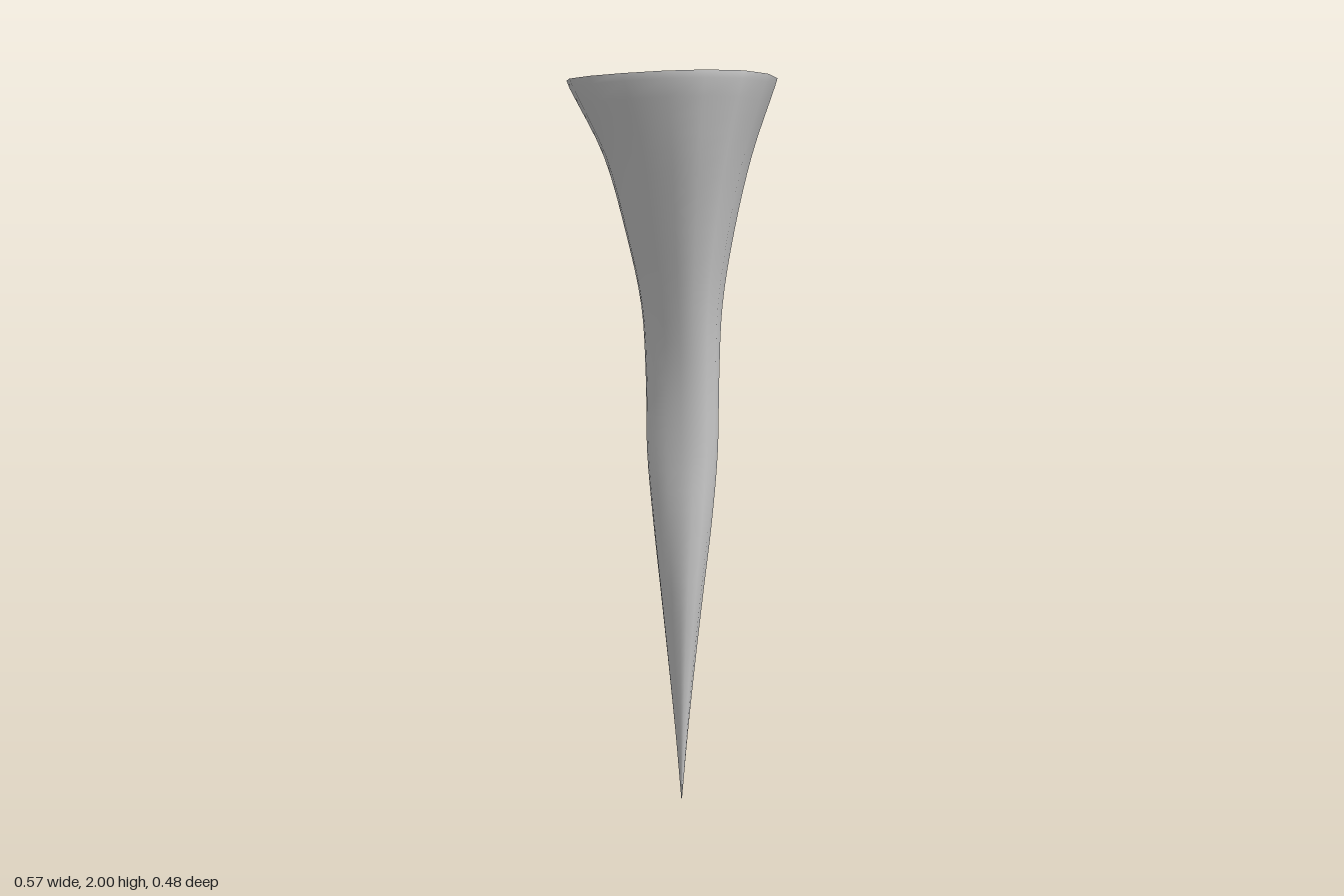
import * as THREE from 'three';

// Half of the egg-shaped section: x and z, narrow at -x and broad at +x
const HALF = [[-0.283, 0], [-0.265, 0.055], [-0.2, 0.12], [-0.105, 0.178], [0.01, 0.227],
  [0.113, 0.241], [0.208, 0.209], [0.264, 0.119], [0.283, 0]];
const SECTION = [...HALF, ...HALF.slice(1, -1).reverse().map(([x, z]) => [x, -z])]
  .map(([x, z]) => [x / 0.283, z / 0.241]);

// Height, left edge x, right edge x, half depth
const PROFILE = [
  [0, 0.029, 0.031, 0.001], [0.2, 0.012, 0.048, 0.029], [0.4, -0.008, 0.068, 0.056],
  [0.6, -0.029, 0.09, 0.077], [0.8, -0.05, 0.113, 0.081], [1.0, -0.067, 0.129, 0.077],
  [1.2, -0.07, 0.132, 0.09], [1.4, -0.082, 0.14, 0.123], [1.6, -0.125, 0.171, 0.165],
  [1.8, -0.183, 0.217, 0.209], [1.98, -0.275, 0.277, 0.241],
];

// Skin a list of rings {y, cx, rx, rz} with smooth normals
function loft(rings) {
  const n = SECTION.length, position = [], index = [];
  for (const r of rings) {
    for (const [u, v] of SECTION) position.push(r.cx + u * r.rx, r.y, v * r.rz);
  }
  for (let k = 0; k < rings.length - 1; k++) {
    for (let i = 0; i < n; i++) {
      const j = (i + 1) % n, a = k * n + i, b = k * n + j;
      index.push(a, b, b + n, a, b + n, a + n);
    }
  }
  const geometry = new THREE.BufferGeometry();
  geometry.setAttribute('position', new THREE.Float32BufferAttribute(position, 3));
  geometry.setIndex(index);
  geometry.computeVertexNormals();
  return geometry;
}

export function createModel() {
  const group = new THREE.Group();
  group.name = 'flaredSpike';
  const material = new THREE.MeshStandardMaterial({ color: 0xcccccc, side: THREE.DoubleSide });

  // Tapered shaft, smoothly interpolated from the profile
  const edges = new THREE.CatmullRomCurve3(PROFILE.map(([y, l, r]) => new THREE.Vector3(l, y, r)));
  const depths = new THREE.CatmullRomCurve3(PROFILE.map(([y, , , d]) => new THREE.Vector3(d, y, 0)));
  const rings = [];
  for (let k = 0; k <= 40; k++) {
    const e = edges.getPoint(k / 40), d = depths.getPoint(k / 40);
    rings.push({ y: e.y, cx: (e.x + e.z) / 2, rx: (e.z - e.x) / 2, rz: d.x });
  }
  // Lip
  rings.push({ y: 2, cx: 0, rx: 0.283, rz: 0.236 });
  const shaft = new THREE.Mesh(loft(rings), material);
  shaft.name = 'shaft';

  // Shallow dished top with a rounded inner edge
  const dish = [[1, 2], [0.94, 1.993], [0.8, 1.97], [0.6, 1.945], [0.4, 1.93], [0.2, 1.921], [0.001, 1.918]]
    .map(([s, y]) => ({ y, cx: 0.05 * (1 - s), rx: 0.283 * s, rz: 0.236 * s }));
  const top = new THREE.Mesh(loft(dish), material);
  top.name = 'dishedTop';

  group.add(shaft, top);
  return group;
}
